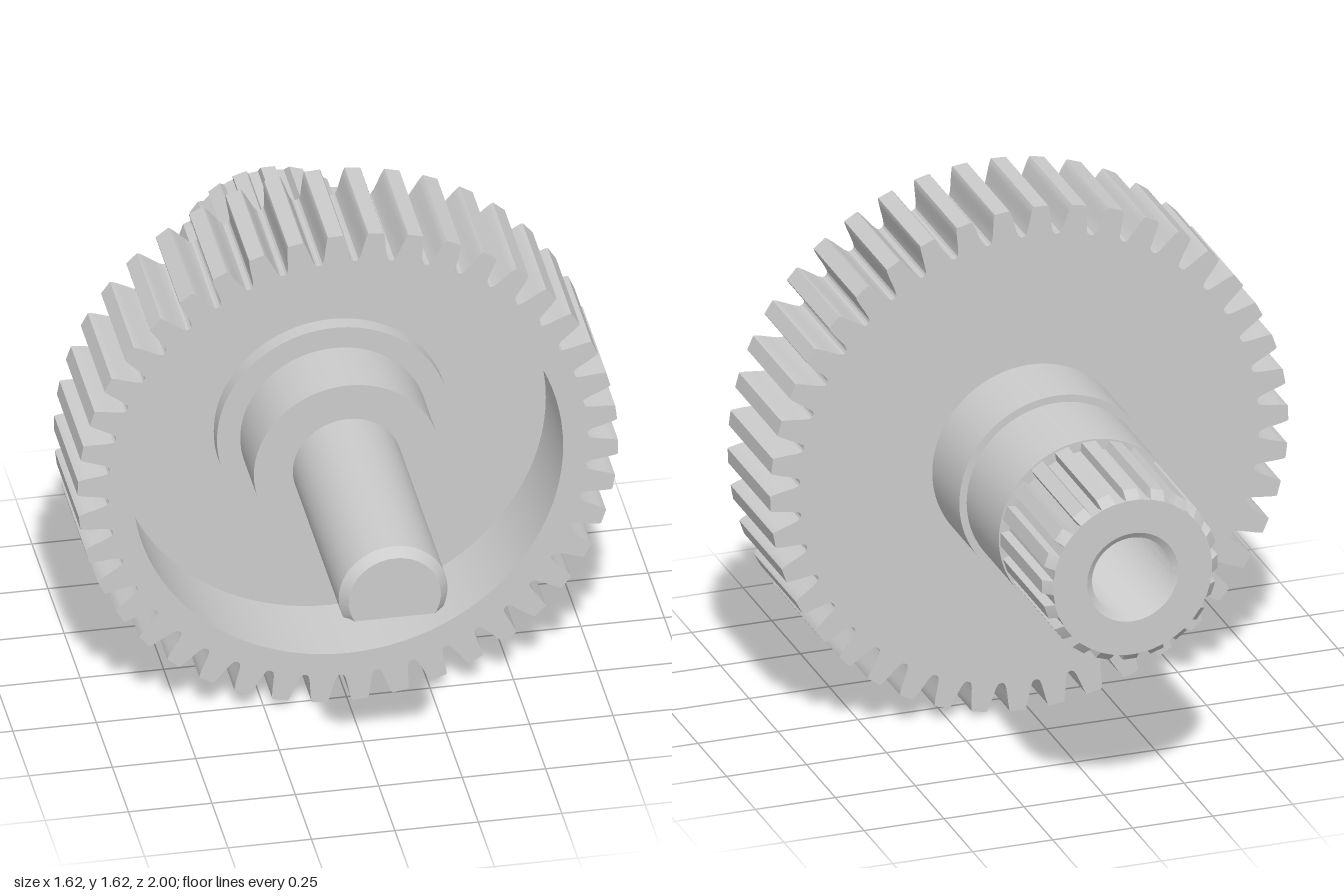
import * as THREE from 'three';
import { toCreasedNormals } from 'three/addons/utils/BufferGeometryUtils.js';

const SEG = 96;
const material = new THREE.MeshStandardMaterial({ color: 0xcccccc });

function part(name, geometry) {
  const mesh = new THREE.Mesh(toCreasedNormals(geometry, 0.5), material);
  mesh.name = name;
  return mesh;
}

// Turned part around the z axis from [radius, z] pairs
function turned(profile) {
  const points = profile.map(([r, z]) => new THREE.Vector2(r, z));
  return new THREE.LatheGeometry(points, SEG).rotateX(Math.PI / 2);
}

// Toothed outline with a round hole; each tooth is a list of [radius, fraction of pitch]
function toothedShape(count, phase, tooth, holeRadius) {
  const pitch = (2 * Math.PI) / count;
  const points = [];
  for (let i = 0; i < count; i++) {
    for (const [r, f] of tooth) {
      const a = phase + (i + f) * pitch;
      points.push(new THREE.Vector2(r * Math.cos(a), r * Math.sin(a)));
    }
  }
  const shape = new THREE.Shape(points);
  shape.holes.push(new THREE.Path().absarc(0, 0, holeRadius, 0, 2 * Math.PI, true));
  return shape;
}

// Complete a symmetric tooth from its rising side
const mirrored = (side) => [...side, ...side.map(([r, f]) => [r, -f]).reverse()];

export function createModel() {
  const group = new THREE.Group();
  group.name = 'gearShaft';

  // Toothed rim
  const gearTooth = mirrored([
    [0.718, -0.46], [0.722, -0.4], [0.735, -0.35], [0.76, -0.3], [0.786, -0.255], [0.805, -0.215], [0.81, -0.19],
  ]);
  const rim = new THREE.ExtrudeGeometry(
    toothedShape(42, Math.PI / 2 + 0.045, gearTooth, 0.645),
    { depth: 0.37, bevelEnabled: false, curveSegments: SEG / 2 });
  rim.translate(0, 0, -0.1);
  group.add(part('gearRim', rim));

  // Hub with stepped barrel behind, web, and raised boss inside the recess
  group.add(part('hubAndWeb', turned([
    [0, -0.5], [0.142, -0.5], [0.142, -0.615], [0.28, -0.615], [0.28, -0.335],
    [0.303, -0.335], [0.303, -0.1], [0.645, -0.1], [0.645, 0], [0.35, 0],
    [0.35, 0.05], [0.28, 0.05], [0.28, 0.26], [0, 0.26],
  ])));

  // Front shaft, flattened underneath beyond z = 0.44
  const shaft = turned([
    [0.163, 0.2], [0.163, 0.44], [0.163, 0.4405], [0.163, 0.972], [0.138, 1], [0, 1],
  ]);
  const sp = shaft.attributes.position;
  for (let i = 0; i < sp.count; i++) {
    if (sp.getZ(i) > 0.4402) sp.setY(i, Math.max(sp.getY(i), -0.067));
  }
  group.add(part('frontShaft', shaft));

  // Splined end with a chamfered tip
  const splineTooth = mirrored([[0.248, -0.32], [0.275, -0.25]]);
  const spline = new THREE.ExtrudeGeometry(
    toothedShape(20, Math.PI / 2, splineTooth, 0.142),
    { depth: 0.385, steps: 15, bevelEnabled: false, curveSegments: SEG / 2 });
  spline.translate(0, 0, -1);
  const pp = spline.attributes.position;
  for (let i = 0; i < pp.count; i++) {
    const r = Math.hypot(pp.getX(i), pp.getY(i));
    if (pp.getZ(i) < -0.999 && r > 0.249) {
      pp.setXY(i, (pp.getX(i) * 0.249) / r, (pp.getY(i) * 0.249) / r);
    }
  }
  group.add(part('splinedEnd', spline));

  // Threaded bore in the splined end
  const thread = [];
  const turns = 18;
  for (let i = 0; i <= turns; i++) {
    const z = -0.5 - (0.5 * i) / turns;
    thread.push([0.142, z]);
    if (i < turns) thread.push([0.122, z - 0.25 / turns]);
  }
  group.add(part('threadedBore', turned(thread)));

  group.position.y = 0.81;
  const root = new THREE.Group();
  root.add(group);
  return root;
}
